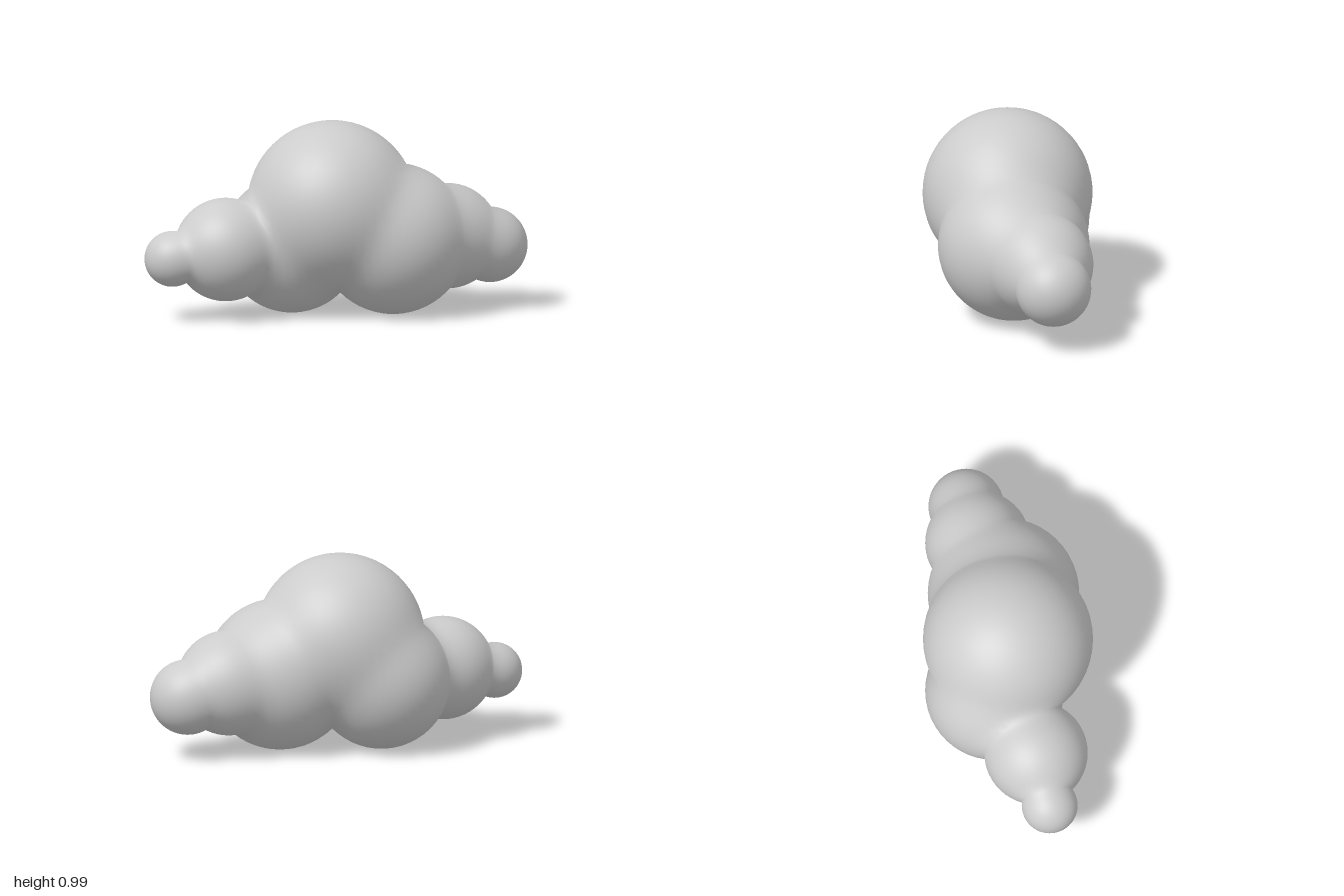
import * as THREE from 'three';

// Puffs of the cloud: name, centre x, y, z, radius
const PUFFS = [
  ['rightTipPuff', -0.86, 0.322, 0.01, 0.142],
  ['rightPuff', -0.58, 0.358, 0.012, 0.263],
  ['crownPuff', -0.02, 0.562, 0.013, 0.432],
  ['rearBasePuff', -0.2, 0.355, -0.105, 0.353],
  ['frontBasePuff', 0.285, 0.387, 0.07, 0.385],
  ['leftPuff', 0.585, 0.378, 0.015, 0.268],
  ['leftTipPuff', 0.81, 0.323, 0.013, 0.192],
].map(([name, x, y, z, radius]) => ({ name, centre: new THREE.Vector3(x, y, z), radius }));

const SOFTNESS = 0.035; // width of the soft shading where puffs meet

// Normal shared by neighbouring puffs, weighted by how near each surface is
function blendedNormal(point) {
  const normal = new THREE.Vector3();
  for (const { centre, radius } of PUFFS) {
    const away = point.clone().sub(centre);
    const gap = away.length() - radius;
    normal.addScaledVector(away.normalize(), Math.exp(-Math.max(gap, -0.1) / SOFTNESS));
  }
  return normal.normalize();
}

function makePuff({ name, centre, radius }, material) {
  const geometry = new THREE.SphereGeometry(radius, 48, 32);
  const { position, normal } = geometry.attributes;
  const point = new THREE.Vector3();
  for (let i = 0; i < position.count; i++) {
    point.fromBufferAttribute(position, i).add(centre);
    const n = blendedNormal(point);
    normal.setXYZ(i, n.x, n.y, n.z);
  }
  const mesh = new THREE.Mesh(geometry, material);
  mesh.name = name;
  mesh.position.copy(centre);
  return mesh;
}

export function createModel() {
  const cloud = new THREE.Group();
  cloud.name = 'cloud';
  const material = new THREE.MeshStandardMaterial({ color: 0xcccccc });
  for (const puff of PUFFS) cloud.add(makePuff(puff, material));
  return cloud;
}
